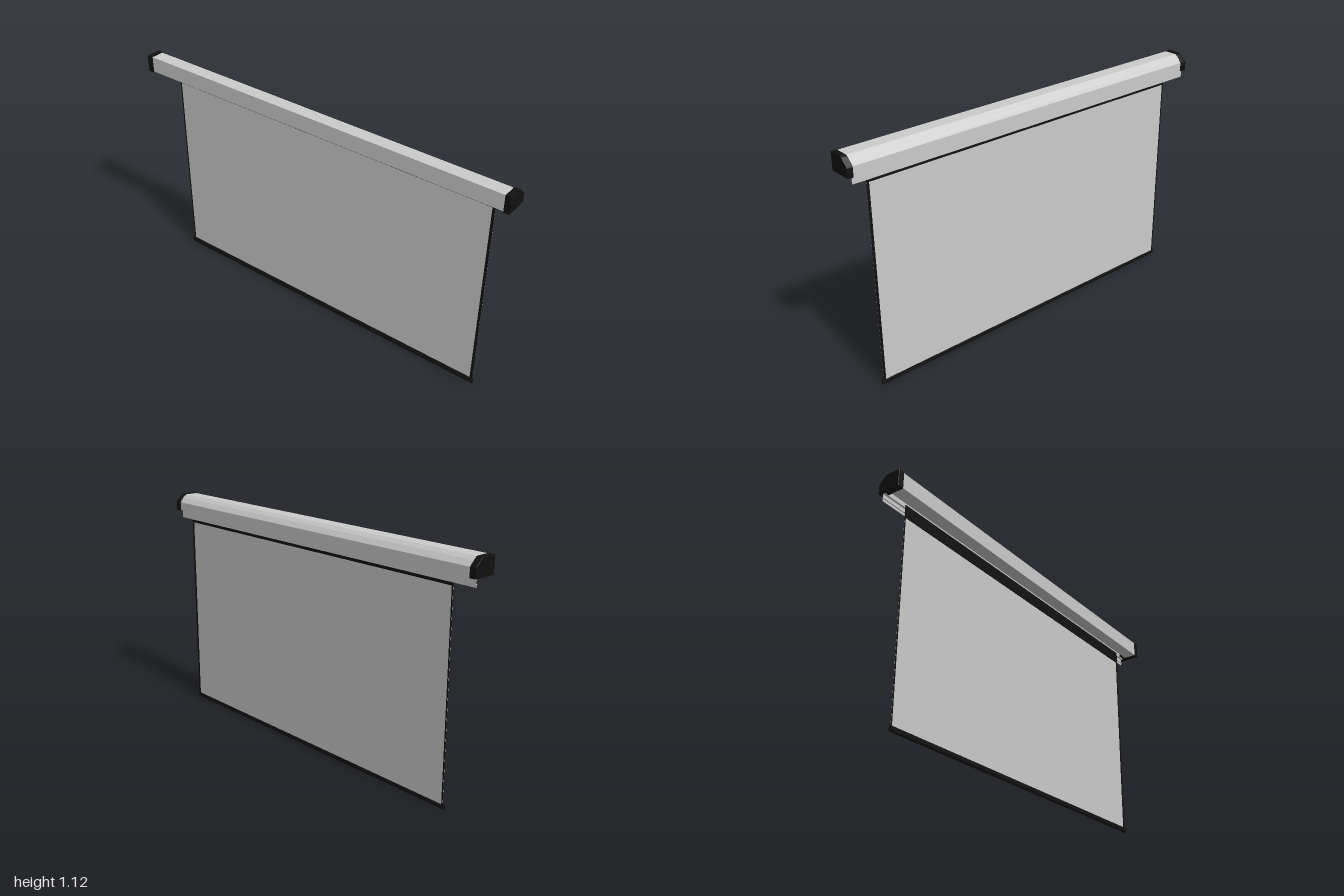
import * as THREE from 'three';

const grey = new THREE.MeshStandardMaterial({ color: 0xcccccc, side: THREE.DoubleSide });
const black = new THREE.MeshStandardMaterial({ color: 0x111111 });

// Extrude an x/y outline from z0 to z1, with an optional small edge bevel
function bar(name, points, z0, z1, material, bevel = 0) {
  const shape = new THREE.Shape(points.map(([x, y]) => new THREE.Vector2(x, y)));
  const geometry = new THREE.ExtrudeGeometry(shape, {
    depth: z1 - z0 - 2 * bevel, bevelEnabled: bevel > 0, bevelSize: bevel,
    bevelThickness: bevel, bevelOffset: -bevel, bevelSegments: 2,
  });
  geometry.translate(0, 0, z0 + bevel);
  const mesh = new THREE.Mesh(geometry, material);
  mesh.name = name;
  return mesh;
}

// Upright strip lying in the plane of the screen
function strip(name, y0, y1, z0, z1, thickness, material) {
  const mesh = new THREE.Mesh(new THREE.BoxGeometry(thickness, y1 - y0, z1 - z0), material);
  mesh.position.set(0.024, (y0 + y1) / 2, (z0 + z1) / 2);
  mesh.name = name;
  return mesh;
}

export function createModel() {
  const group = new THREE.Group();
  group.name = 'projectionScreen';

  // Hollow housing with a chamfered front and a slot underneath
  group.add(bar('housing', [
    [0.010, 1.044], [-0.054, 1.044], [-0.054, 1.121], [0.012, 1.121], [0.030, 1.106],
    [0.048, 1.083], [0.048, 1.044], [0.032, 1.044], [0.032, 1.048], [0.044, 1.048],
    [0.044, 1.081], [0.027, 1.102], [0.010, 1.117], [-0.050, 1.117], [-0.050, 1.048], [0.010, 1.048],
  ], -0.975, 0.975, grey));

  // End caps
  const cap = [
    [-0.057, 1.040], [0.055, 1.040], [0.055, 1.084], [0.052, 1.090],
    [0.021, 1.119], [0.012, 1.123], [-0.057, 1.123],
  ];
  group.add(bar('endCapLeft', cap, -1, -0.968, black, 0.002));
  group.add(bar('endCapRight', cap, 0.972, 1, black, 0.002));

  // Angled valance hanging below the housing
  group.add(bar('valance', [
    [0.026, 1.044], [0.038, 1.044], [0.038, 1.003], [0.036, 1.003], [0.036, 1.015],
    [0.031, 1.015], [0.031, 1.017], [0.036, 1.017], [0.036, 1.038], [0.026, 1.038],
  ], -0.99, 0.972, grey));

  // Fabric, its dark borders and the roller it hangs from
  group.add(strip('fabric', 0.02, 1.06, -0.868, 0.902, 0.001, grey));
  group.add(strip('topBorder', 0.985, 1.05, -0.868, 0.902, 0.002, black));
  group.add(strip('sideBorderFront', 0.02, 1.05, 0.889, 0.902, 0.002, black));
  group.add(strip('sideBorderBack', 0.02, 1.05, -0.868, -0.861, 0.002, black));
  const roller = new THREE.Mesh(new THREE.CylinderGeometry(0.024, 0.024, 1.94, 24), grey);
  roller.rotation.x = Math.PI / 2;
  roller.position.set(0, 1.078, 0);
  roller.name = 'roller';
  group.add(roller);

  // Teardrop weight bar along the bottom edge
  group.add(bar('weightBar', [
    [0.017, 0.002], [0.021, 0], [0.025, 0.002], [0.0275, 0.009],
    [0.026, 0.018], [0.023, 0.028], [0.020, 0.028], [0.016, 0.018], [0.0145, 0.009],
  ], -0.875, 0.907, black));

  return group;
}
